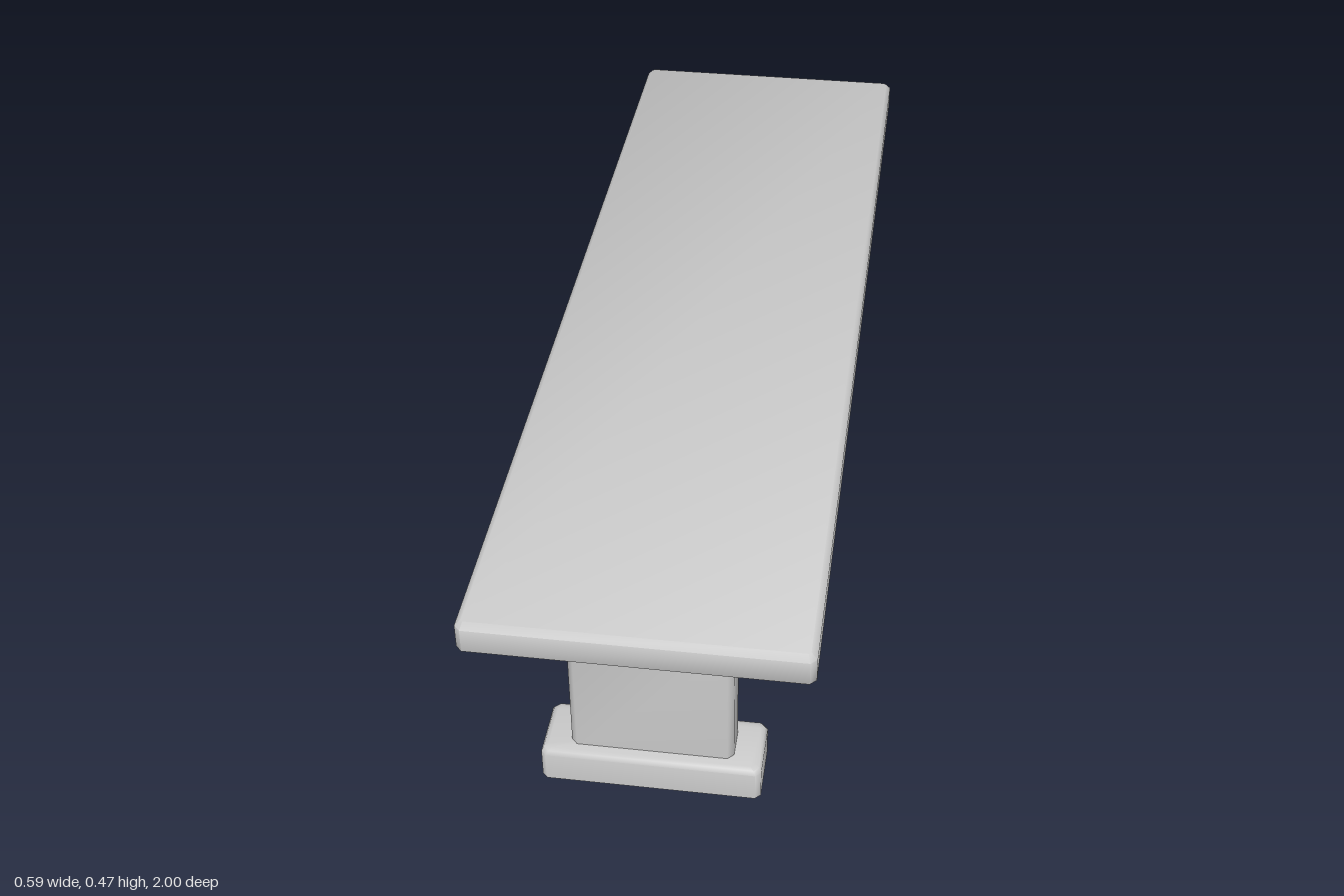
import * as THREE from 'three';
import { toCreasedNormals } from 'three/addons/utils/BufferGeometryUtils.js';

const material = new THREE.MeshStandardMaterial({ color: 0xcccccc });

// Rectangle with cut corners, counter-clockwise seen from above
function ring([y, hx, hz, c]) {
  return [
    [hx, -hz + c], [hx - c, -hz], [-hx + c, -hz], [-hx, -hz + c],
    [-hx, hz - c], [-hx + c, hz], [hx - c, hz], [hx, hz - c],
  ].flatMap(([x, z]) => [x, y, z]);
}

// Closed solid through stacked sections [y, half width, half depth, corner cut]
function loft(name, sections) {
  const n = 8;
  const index = [];
  const last = (sections.length - 1) * n;
  for (let s = 0; s < last; s += n) {
    for (let i = 0; i < n; i++) {
      const j = (i + 1) % n;
      index.push(s + i, s + j, s + n + j, s + i, s + n + j, s + n + i);
    }
  }
  for (let i = 1; i < n - 1; i++) {
    index.push(0, i + 1, i);
    index.push(last, last + i, last + i + 1);
  }
  const geometry = new THREE.BufferGeometry();
  geometry.setAttribute('position', new THREE.Float32BufferAttribute(sections.flatMap(ring), 3));
  geometry.setIndex(index);
  const mesh = new THREE.Mesh(toCreasedNormals(geometry, 0.9), material);
  mesh.name = name;
  return mesh;
}

function createLeg(name, z) {
  const leg = new THREE.Group();
  leg.name = name;
  leg.position.z = z;
  leg.add(
    // Foot block with softened top edge
    loft('foot', [
      [0, 0.199, 0.063, 0.01],
      [0.058, 0.199, 0.063, 0.01],
      [0.066, 0.195, 0.059, 0.01],
      [0.069, 0.187, 0.051, 0.008],
    ]),
    // Upright
    loft('post', [
      [0.065, 0.147, 0.038, 0.011],
      [0.32, 0.147, 0.038, 0.011],
    ]),
    // Flared support under the seat
    loft('bracket', [
      [0.315, 0.143, 0.039, 0.004],
      [0.331, 0.182, 0.043, 0.004],
      [0.351, 0.208, 0.044, 0.004],
      [0.378, 0.22, 0.044, 0.004],
      [0.41, 0.22, 0.044, 0.004],
    ]),
  );
  return leg;
}

export function createModel() {
  const bench = new THREE.Group();
  bench.name = 'bench';
  // Seat slab with chamfered edges
  bench.add(loft('seat', [
    [0.406, 0.286, 0.989, 0.004],
    [0.417, 0.297, 1, 0.011],
    [0.463, 0.297, 1, 0.011],
    [0.474, 0.286, 0.989, 0.004],
  ]));
  bench.add(createLeg('frontLeg', 0.82), createLeg('backLeg', -0.82));
  return bench;
}
